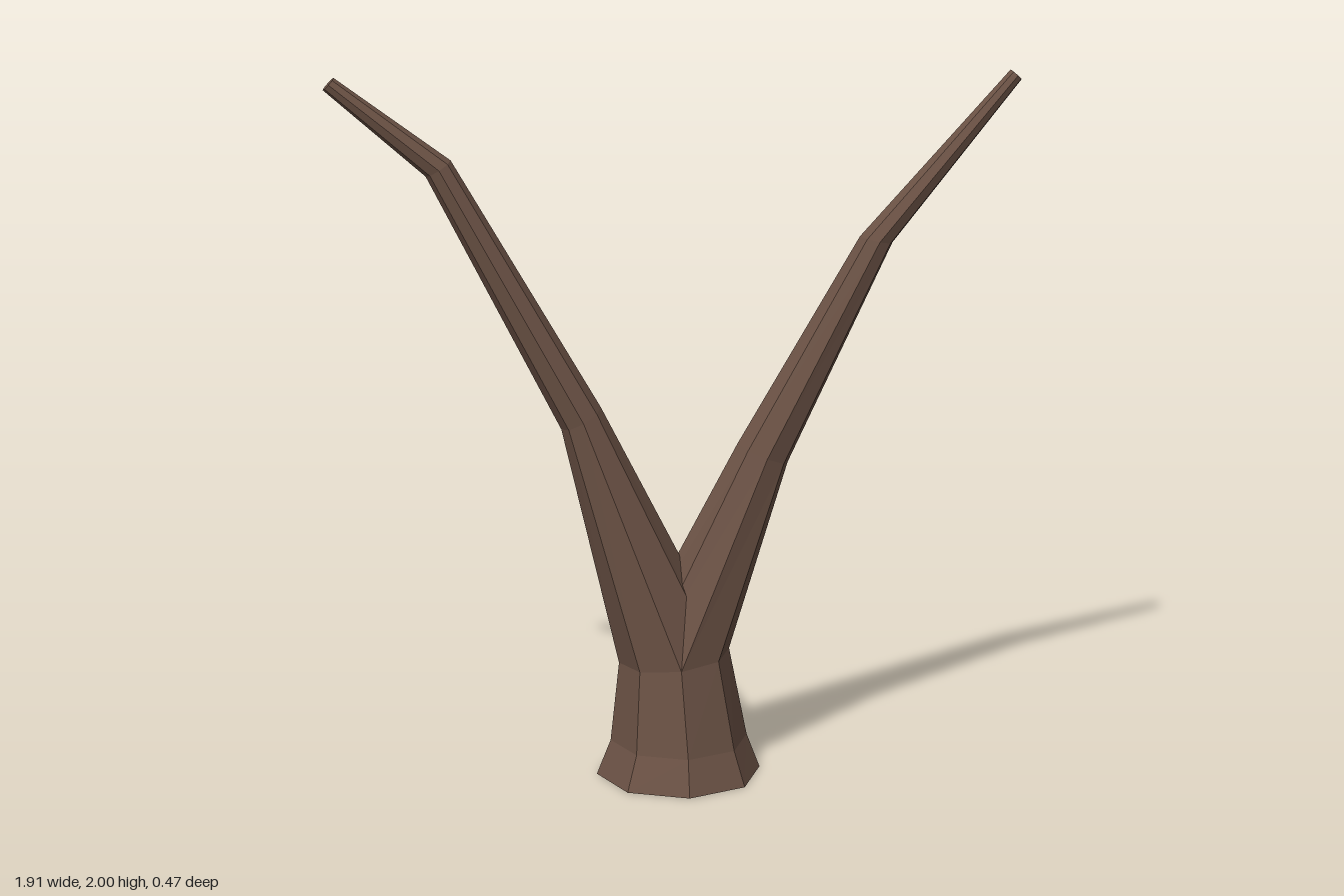
import * as THREE from 'three';

const SIDES = 8;

// Each ring is [ax, ay, bx, by, zCentre, zRadius]: its -x end, its +x end and its depth.
function ringPoint([ax, ay, bx, by, zc, zr], j) {
  const t = (j / SIDES) * Math.PI * 2;
  const c = Math.cos(t) / 2;
  return [(ax + bx) / 2 + c * (bx - ax), (ay + by) / 2 + c * (by - ay), zc + Math.sin(t) * zr];
}

// Low-poly tube through tilted eight-sided rings, with optional end caps
function loft(name, rings, material, capBottom, capTop) {
  const pos = [];
  const tri = (...pts) => pts.forEach((p) => pos.push(...p));
  for (let i = 0; i < rings.length - 1; i++) {
    for (let j = 0; j < SIDES; j++) {
      const a = ringPoint(rings[i], j), b = ringPoint(rings[i], j + 1);
      const c = ringPoint(rings[i + 1], j), d = ringPoint(rings[i + 1], j + 1);
      tri(a, c, b);
      tri(b, c, d);
    }
  }
  const cap = (ring, up) => {
    const first = ringPoint(ring, 0);
    for (let j = 1; j < SIDES - 1; j++) {
      const p = ringPoint(ring, j), q = ringPoint(ring, j + 1);
      if (up) tri(first, q, p);
      else tri(first, p, q);
    }
  };
  if (capBottom) cap(rings[0], false);
  if (capTop) cap(rings[rings.length - 1], true);
  const geometry = new THREE.BufferGeometry();
  geometry.setAttribute('position', new THREE.Float32BufferAttribute(pos, 3));
  geometry.computeVertexNormals(); // unshared corners give flat faces
  const mesh = new THREE.Mesh(geometry, material);
  mesh.name = name;
  return mesh;
}

export function createModel() {
  const bark = new THREE.MeshStandardMaterial({ color: 0x6b5245 });
  bark.name = 'brown bark';
  const tree = new THREE.Group();
  tree.name = 'forkedTree';

  // Both branches grow out of the full top ring of the trunk
  const fork = [-0.17, 0.33, 0.145, 0.36, 0, 0.156];

  tree.add(loft('trunk', [
    [-0.235, 0, 0.235, 0, 0, 0.235],
    [-0.195, 0.1, 0.197, 0.1, 0, 0.198],
    fork,
  ], bark, true, false));

  tree.add(loft('rightBranch', [
    fork,
    [-0.33, 1.02, -0.22, 1.08, 0.022, 0.072],
    [-0.69, 1.73, -0.622, 1.773, 0.005, 0.046],
    [-0.96, 1.968, -0.93, 2.0, 0, 0.025],
  ], bark, false, true));

  tree.add(loft('leftBranch', [
    fork,
    [0.167, 0.957, 0.31, 0.9, -0.003, 0.081],
    [0.508, 1.537, 0.6, 1.518, -0.005, 0.052],
    [0.922, 1.993, 0.953, 1.965, 0, 0.025],
  ], bark, false, true));

  return tree;
}
